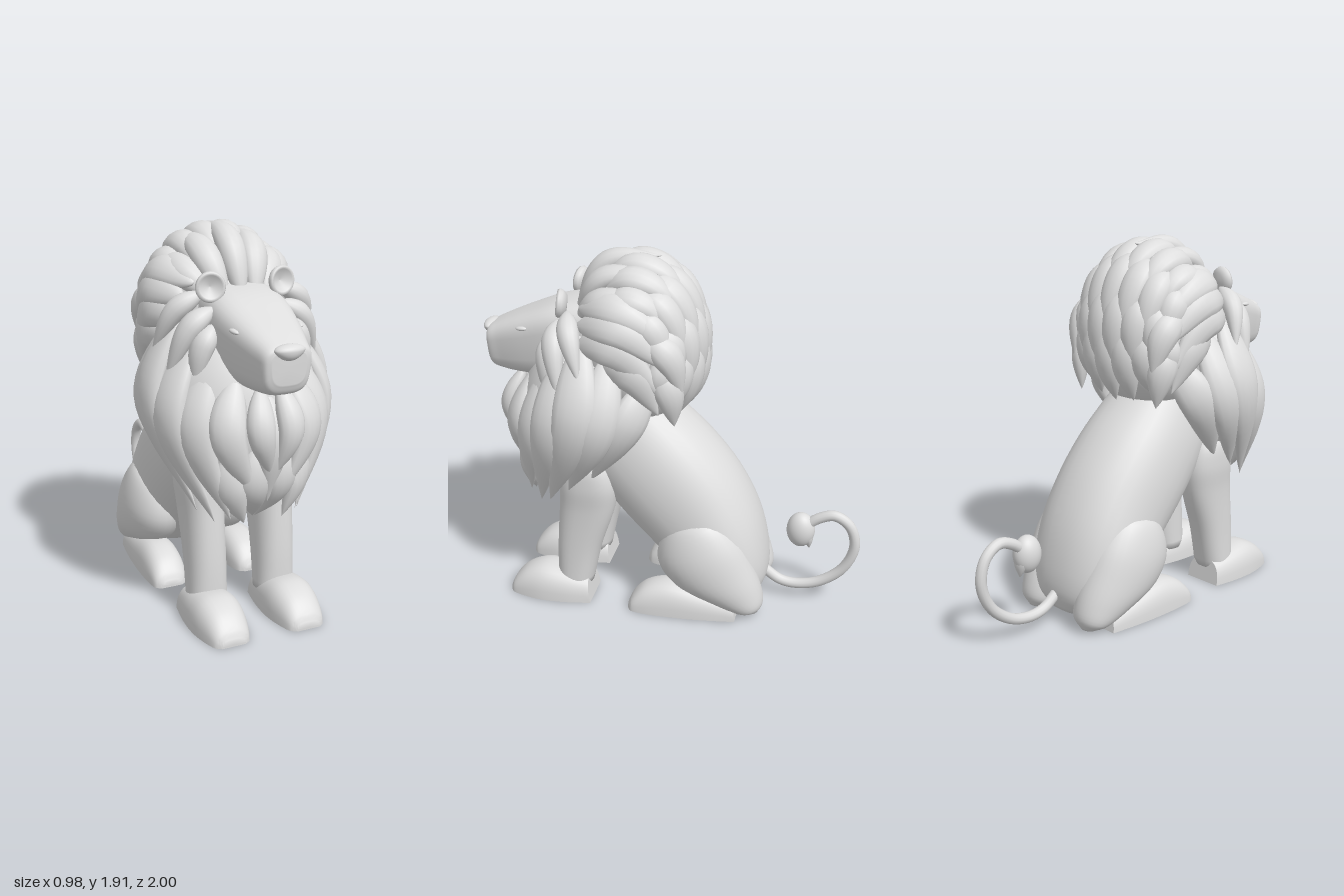
import * as THREE from 'three';
import { toCreasedNormals } from 'three/addons/utils/BufferGeometryUtils.js';

const V = (x, y, z) => new THREE.Vector3(x, y, z);
const stone = new THREE.MeshStandardMaterial({ color: 0xdddddd, side: THREE.DoubleSide });
stone.name = 'stone grey';

// Closed smooth skin over a list of rings, capped at both ends
function skin(rings) {
  const n = rings[0].length, pts = rings.flat(), idx = [];
  for (let i = 0; i < rings.length - 1; i++) {
    for (let j = 0; j < n; j++) {
      const k = (j + 1) % n, a = i * n + j, b = i * n + k, c = b + n, d = a + n;
      idx.push(a, b, d, b, c, d);
    }
  }
  const cap = (ring, base, flip) => {
    const mid = ring.reduce((s, p) => s.add(p), V(0, 0, 0)).divideScalar(n);
    const m = pts.push(mid) - 1;
    for (let j = 0; j < n; j++) {
      const k = base + (j + 1) % n;
      flip ? idx.push(m, k, base + j) : idx.push(m, base + j, k);
    }
  };
  cap(rings[0], 0, true);
  cap(rings[rings.length - 1], (rings.length - 1) * n, false);
  let volume = 0;
  for (let i = 0; i < idx.length; i += 3) {
    volume += pts[idx[i]].dot(V(0, 0, 0).crossVectors(pts[idx[i + 1]], pts[idx[i + 2]]));
  }
  if (volume < 0) idx.reverse();
  const g = new THREE.BufferGeometry().setFromPoints(pts);
  g.setIndex(idx);
  g.computeVertexNormals();
  return g;
}

// Loft through sections given as [z1, y1, z2, y2, halfWidth, centreX]
function loft(rows, { power = 1, flat = false, taper = 0, steps = 28, sides = 32 } = {}) {
  const A = new THREE.CatmullRomCurve3(rows.map(r => V(r[0], r[1], r[4])));
  const B = new THREE.CatmullRomCurve3(rows.map(r => V(r[2], r[3], r[5] || 0)));
  const pw = v => Math.sign(v) * Math.abs(v) ** power;
  const rings = [];
  for (let i = 0; i <= steps; i++) {
    const a = A.getPoint(i / steps), b = B.getPoint(i / steps), ring = [];
    for (let j = 0; j < sides; j++) {
      const t = j / sides * Math.PI * 2, s = pw(Math.sin(t));
      const v = flat ? Math.max(0, s) : (s + 1) / 2;
      const x = b.z + a.z * pw(Math.cos(t)) * (1 - taper * (1 - v));
      ring.push(V(x, b.y + (a.y - b.y) * v, b.x + (a.x - b.x) * v));
    }
    rings.push(ring);
  }
  return skin(rings);
}

// Pointed leaf of hair along a curve, lying flat against a centre point
function lock(points, centre, width, thick) {
  const curve = new THREE.CatmullRomCurve3(points), rings = [], steps = 18;
  for (let i = 0; i <= steps; i++) {
    const u = i / steps, p = curve.getPoint(u), t = curve.getTangent(u);
    const n = p.clone().sub(centre);
    n.addScaledVector(t, -n.dot(t)).normalize();
    const side = V(0, 0, 0).crossVectors(n, t);
    const f = Math.max(0.01, Math.sin(Math.PI * Math.min(1, u * 0.98 + 0.02) ** 0.85) ** 0.9);
    const ring = [];
    for (let j = 0; j < 14; j++) {
      const a = j / 14 * Math.PI * 2;
      ring.push(p.clone().addScaledVector(side, Math.cos(a) * width * f)
        .addScaledVector(n, Math.sin(a) * thick * f));
    }
    rings.push(ring);
  }
  return skin(rings);
}

export function createModel() {
  const model = new THREE.Group();
  model.name = 'seatedLion';
  const add = (name, geometry, parent = model) => {
    const m = new THREE.Mesh(geometry, stone);
    m.name = name;
    parent.add(m);
    return m;
  };
  const ball = (name, pos, size, parent) => {
    const m = add(name, new THREE.SphereGeometry(1, 32, 20), parent);
    m.position.set(...pos);
    m.scale.set(...size);
    return m;
  };

  // Torso sloping from shoulders to rump
  add('torso', loft([
    [0.2, 1.3, 0.55, 0.95, 0.2], [-0.02, 1.1, 0.45, 0.72, 0.27], [-0.2, 0.93, 0.3, 0.53, 0.295],
    [-0.35, 0.74, 0.12, 0.34, 0.3], [-0.46, 0.52, -0.05, 0.18, 0.3], [-0.515, 0.3, -0.2, 0.07, 0.27],
    [-0.52, 0.16, -0.32, 0.035, 0.2], [-0.48, 0.06, -0.4, 0.035, 0.09]], { power: 0.92 }));

  // Legs and paws on both sides
  for (const s of [1, -1]) {
    const side = s > 0 ? 'left' : 'right';
    const place = rows => rows.map(r => [...r.slice(0, 5), s * r[5]]);
    add(side + 'FrontLeg', loft(place([
      [0.6, 0.08, 0.41, 0.08, 0.1, 0.185], [0.595, 0.3, 0.36, 0.3, 0.1, 0.185],
      [0.575, 0.55, 0.28, 0.55, 0.105, 0.187], [0.56, 0.7, 0.265, 0.7, 0.115, 0.19],
      [0.52, 0.82, 0.31, 0.82, 0.1, 0.19], [0.46, 0.88, 0.4, 0.88, 0.03, 0.19]]), { power: 0.85 }));
    add(side + 'Haunch', loft(place([
      [-0.17, 0.575, -0.11, 0.565, 0.035, 0.21], [-0.28, 0.56, 0, 0.47, 0.11, 0.21],
      [-0.385, 0.45, 0.04, 0.3, 0.155, 0.21], [-0.46, 0.3, -0.04, 0.17, 0.16, 0.205],
      [-0.51, 0.17, -0.22, 0.08, 0.135, 0.2], [-0.525, 0.08, -0.38, 0.02, 0.095, 0.2],
      [-0.5, 0.02, -0.43, 0.012, 0.04, 0.2]])));
    const paw = { power: 0.75, flat: true };
    add(side + 'FrontPaw', toCreasedNormals(loft(place([
      [0.86, 0.03, 0.86, 0, 0.06, 0.2], [0.835, 0.075, 0.84, 0, 0.09, 0.2],
      [0.77, 0.135, 0.77, 0, 0.115, 0.2], [0.67, 0.172, 0.67, 0, 0.132, 0.2],
      [0.55, 0.16, 0.54, 0, 0.128, 0.2], [0.42, 0.13, 0.4, 0, 0.105, 0.2]]), paw), 0.7));
    add(side + 'HindPaw', toCreasedNormals(loft(place([
      [0.19, 0.03, 0.19, 0, 0.055, 0.24], [0.165, 0.075, 0.17, 0, 0.085, 0.24],
      [0.1, 0.135, 0.1, 0, 0.103, 0.235], [-0.02, 0.168, -0.02, 0, 0.11, 0.23],
      [-0.2, 0.14, -0.2, 0, 0.105, 0.225], [-0.38, 0.09, -0.39, 0, 0.085, 0.22]]), paw), 0.7));
  }

  // Curled tail with a tuft
  const tail = new THREE.CatmullRomCurve3([[-0.46, 0.2], [-0.52, 0.145], [-0.59, 0.1], [-0.68, 0.088],
    [-0.8, 0.12], [-0.92, 0.22], [-0.972, 0.36], [-0.94, 0.48], [-0.86, 0.533], [-0.78, 0.51],
    [-0.7, 0.45]].map(([z, y]) => V(0, y, z)));
  add('tail', new THREE.TubeGeometry(tail, 60, 0.028, 12));
  ball('tailTuft', [0, 0.43, -0.685], [0.065, 0.098, 0.075]);
  add('tailTuftTip', lock([V(0, 0.47, -0.71), V(0, 0.4, -0.725), V(0, 0.32, -0.735)],
    V(0, 0.44, -0.66), 0.045, 0.03));

  // Head with nose, eyes and ears
  const head = new THREE.Group();
  head.name = 'head';
  model.add(head);
  add('face', loft([
    [0.35, 1.66, 0.4, 1.22, 0.2], [0.57, 1.63, 0.58, 1.23, 0.21], [0.75, 1.565, 0.74, 1.228, 0.182],
    [0.9, 1.5, 0.87, 1.235, 0.142], [0.955, 1.47, 0.94, 1.255, 0.122], [0.965, 1.45, 0.963, 1.3, 0.09]],
  { power: 0.6, taper: 0.15 }), head);
  const nose = new THREE.SphereGeometry(1, 28, 18), np = nose.attributes.position;
  for (let i = 0; i < np.count; i++) {
    const y = np.getY(i);
    if (y > 0) np.setY(i, y * 0.6);
    else np.setX(i, np.getX(i) * (1 + 0.25 * y));
  }
  nose.scale(0.075, 0.047, 0.04).translate(0, 1.457, 0.96);
  nose.computeVertexNormals();
  add('nose', nose, head);
  const earProfile = [[0, -0.03], [0.045, -0.027], [0.066, -0.008], [0.072, 0.008], [0.066, 0.02],
    [0.054, 0.018], [0.035, 0], [0, -0.008]].map(p => new THREE.Vector2(...p));
  for (const s of [1, -1]) {
    const eye = ball('eye', [s * 0.163, 1.505, 0.745], [0.016, 0.011, 0.032], head);
    eye.rotation.set(0.1, -s * 0.2, 0);
    const ear = add('ear', new THREE.LatheGeometry(earProfile, 28).rotateX(Math.PI / 2), head);
    ear.position.set(s * 0.18, 1.662, 0.525);
    ear.rotation.set(-0.1, s * 0.2, 0);
  }

  // Mane bulk beneath the locks
  const mane = new THREE.Group();
  mane.name = 'mane';
  model.add(mane);
  ball('maneCrown', [0, 1.42, 0.18], [0.33, 0.42, 0.31], mane);
  ball('maneChest', [0, 1.1, 0.47], [0.39, 0.46, 0.32], mane).rotation.x = -0.3;

  // Overlapping rows of locks swept over the crown and down the back
  const crown = V(0, 1.42, 0.18), rad = Math.PI / 180;
  const onCrown = (a, b, lift) => {
    const c = lift * Math.cos(a * rad) ** 0.85, z = Math.cos(b * rad);
    const back = b > 180 ? -(Math.abs(z) ** 0.75) : z;
    return V(0.335 * lift * Math.sin(a * rad), crown.y + 0.425 * c * Math.sin(b * rad), crown.z + 0.31 * c * back);
  };
  const full = [0, 19, 38, 57], between = [9.5, 28.5, 47.5];
  [[58, 148, between], [98, 182, full], [136, 206, between], [165, 226, full]]
    .forEach(([b0, b1, angles]) => {
      for (const a of angles) {
        for (const s of a ? [1, -1] : [1]) {
          const path = [0, 1, 2, 3].map(i => onCrown(s * a, b0 + (b1 - b0) * i / 3, [0.96, 1, 1.02, 1.06][i]));
          add('crownLock', lock(path, crown, 0.078, 0.06), mane);
        }
      }
    });

  // Paired locks: start, middle, tip, half width
  const pairs = (name, centre, rows) => {
    for (const [p, q, r, w] of rows) {
      for (const s of [1, -1]) {
        const path = [p, q, r].map(([x, y, z]) => V(s * x, y, z));
        add(name, lock(path, centre, w, 0.052), mane);
      }
    }
  };

  // Tall locks fanning from the hairline
  add('foreLock', lock([V(0, 1.58, 0.49), V(0, 1.83, 0.33), V(0, 1.88, 0.06)], crown, 0.068, 0.058), mane);
  pairs('foreLock', crown, [
    [[0.075, 1.58, 0.475], [0.13, 1.79, 0.32], [0.14, 1.83, 0.05], 0.07],
    [[0.14, 1.6, 0.45], [0.235, 1.71, 0.3], [0.25, 1.74, 0.04], 0.072],
  ]);

  // Long locks sweeping back over the sides of the head
  pairs('sideLock', crown, [
    [[0.22, 1.66, 0.42], [0.3, 1.69, 0.2], [0.3, 1.52, -0.07], 0.085],
    [[0.27, 1.59, 0.42], [0.335, 1.61, 0.2], [0.315, 1.41, -0.06], 0.09],
    [[0.29, 1.5, 0.42], [0.345, 1.51, 0.22], [0.325, 1.27, -0.02], 0.09],
    [[0.3, 1.4, 0.3], [0.335, 1.38, 0.14], [0.31, 1.17, 0.01], 0.09],
    [[0.31, 1.58, 0.08], [0.3, 1.47, -0.04], [0.28, 1.27, -0.1], 0.075],
    [[0.3, 1.42, 0.02], [0.29, 1.28, -0.04], [0.27, 1.1, -0.06], 0.075],
  ]);

  // Chest, shoulder and cheek locks
  const chest = V(0, 1.1, 0.4);
  pairs('chestLock', chest, [
    [[0.05, 1.25, 0.78], [0.075, 1.05, 0.86], [0.012, 0.83, 0.83], 0.068],
    [[0.13, 1.28, 0.7], [0.205, 1.03, 0.78], [0.08, 0.73, 0.8], 0.088],
    [[0.2, 1.35, 0.6], [0.315, 1.03, 0.67], [0.17, 0.6, 0.74], 0.097],
    [[0.25, 1.45, 0.5], [0.4, 1.08, 0.55], [0.22, 0.57, 0.67], 0.105],
    [[0.28, 1.54, 0.4], [0.44, 1.14, 0.41], [0.28, 0.61, 0.6], 0.11],
    [[0.27, 1.47, 0.26], [0.42, 1.11, 0.3], [0.3, 0.69, 0.49], 0.105],
    [[0.24, 1.33, 0.07], [0.355, 1.1, 0.17], [0.29, 0.76, 0.37], 0.1],
    [[0.05, 0.98, 0.78], [0.07, 0.76, 0.77], [0.005, 0.55, 0.64], 0.08],
    [[0.14, 0.95, 0.74], [0.17, 0.76, 0.74], [0.1, 0.57, 0.74], 0.085],
    [[0.18, 1.5, 0.58], [0.25, 1.4, 0.59], [0.29, 1.18, 0.58], 0.06],
    [[0.17, 1.57, 0.55], [0.29, 1.48, 0.54], [0.39, 1.23, 0.49], 0.06],
    [[0.2, 1.63, 0.49], [0.32, 1.55, 0.45], [0.41, 1.35, 0.38], 0.055],
  ]);
  add('chinLock', lock([V(0, 1.2, 0.76), V(0, 0.98, 0.82), V(0, 0.68, 0.78)], chest, 0.08, 0.05), mane);
  return model;
}
